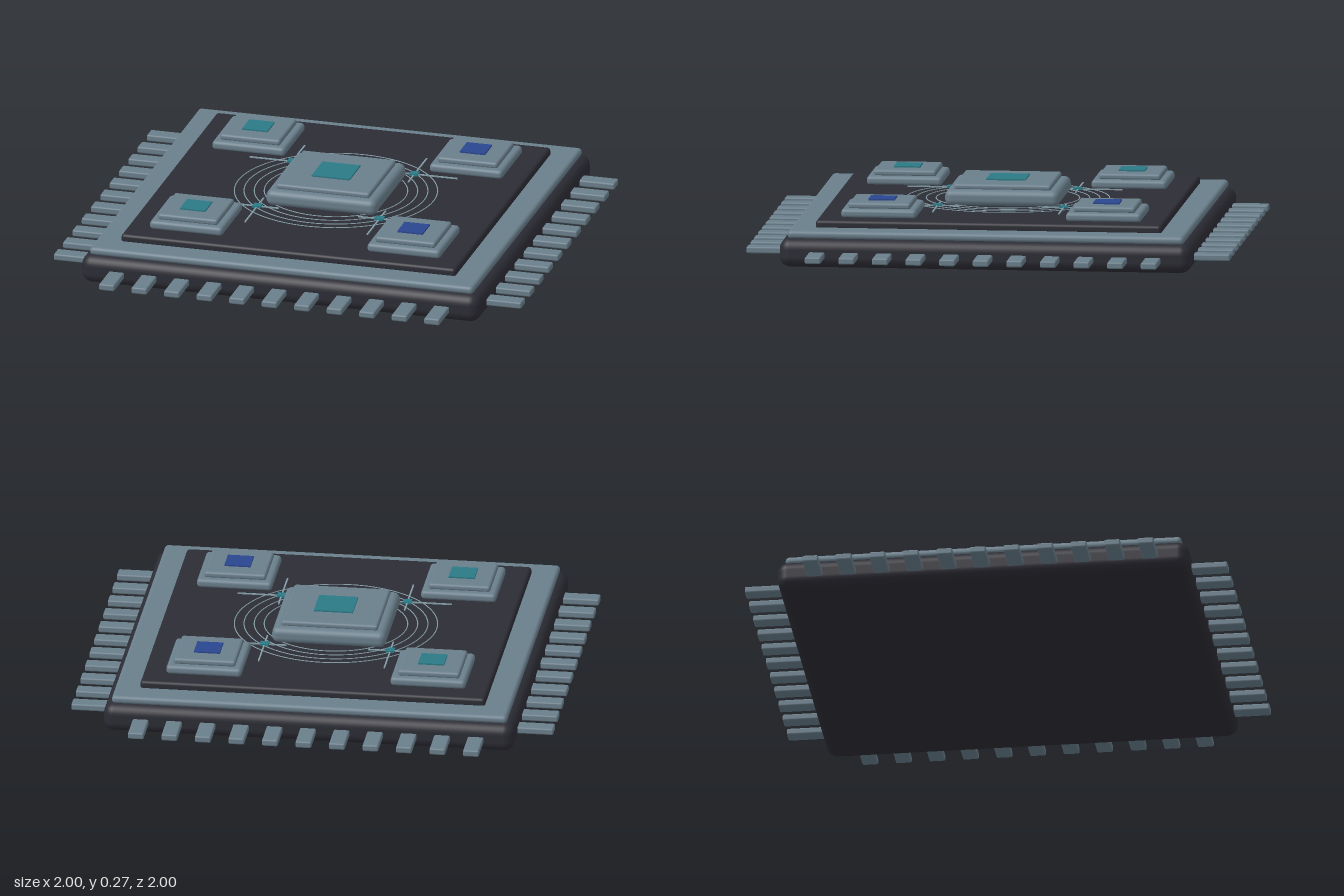
import * as THREE from 'three';
import { RoundedBoxGeometry } from 'three/addons/geometries/RoundedBoxGeometry.js';

const material = (name, color) => {
  const m = new THREE.MeshStandardMaterial({ color });
  m.name = name;
  return m;
};

export function createModel() {
  const dark = material('charcoal', 0x2c2c35);
  const steel = material('steel', 0x6a7f8c);
  const teal = material('teal', 0x2a7a86);
  const blue = material('blue', 0x2a4690);
  const trace = material('paleTrace', 0x86a0aa);

  const model = new THREE.Group();
  model.name = 'processorChip';

  const add = (parent, name, geometry, mat, x, y, z) => {
    const mesh = new THREE.Mesh(geometry, mat);
    mesh.name = name;
    mesh.position.set(x, y, z);
    parent.add(mesh);
    return mesh;
  };
  // Square rounded slab between two heights
  const slab = (parent, name, half, y0, y1, radius, mat, x = 0, z = 0) =>
    add(parent, name, new RoundedBoxGeometry(half * 2, y1 - y0, half * 2, 4, radius), mat, x, (y0 + y1) / 2, z);
  // Thin square painted plate
  const plate = (parent, name, half, y0, y1, mat, x = 0, z = 0) =>
    add(parent, name, new THREE.BoxGeometry(half * 2, y1 - y0, half * 2), mat, x, (y0 + y1) / 2, z);

  // Stacked package body
  slab(model, 'base', 0.852, 0, 0.12, 0.045, dark);
  slab(model, 'framePlate', 0.82, 0.115, 0.15, 0.016, steel);
  slab(model, 'circuitPlate', 0.715, 0.14, 0.18, 0.014, dark);

  // Central core
  const core = new THREE.Group();
  core.name = 'core';
  model.add(core);
  slab(core, 'coreBody', 0.236, 0.175, 0.243, 0.027, steel);
  slab(core, 'coreCap', 0.2, 0.238, 0.264, 0.011, steel);
  plate(core, 'coreLight', 0.081, 0.262, 0.27, teal);

  for (const sx of [-1, 1]) {
    for (const sz of [-1, 1]) {
      // Corner modules
      const corner = new THREE.Group();
      corner.name = 'cornerModule';
      corner.position.set(sx * 0.465, 0, sz * 0.465);
      model.add(corner);
      slab(corner, 'moduleBody', 0.156, 0.175, 0.214, 0.016, steel);
      slab(corner, 'moduleCap', 0.128, 0.21, 0.237, 0.011, steel);
      plate(corner, 'moduleLight', 0.054, 0.235, 0.243, sx < 0 ? teal : blue);

      // Node with crossing traces that reach further outward than inward
      const node = new THREE.Group();
      node.name = 'traceNode';
      node.position.set(sx * 0.261, 0, sz * 0.261);
      model.add(node);
      plate(node, 'nodeLight', 0.018, 0.18, 0.189, teal);
      add(node, 'traceAcross', new THREE.BoxGeometry(0.275, 0.006, 0.006), trace, sx * 0.046, 0.182, 0);
      add(node, 'traceAlong', new THREE.BoxGeometry(0.006, 0.006, 0.275), trace, 0, 0.182, sz * 0.046);
    }
  }

  // Concentric trace rings
  for (const r of [0.295, 0.336, 0.378, 0.418]) {
    const ring = add(model, 'traceRing', new THREE.TorusGeometry(r, 0.0025, 6, 72), trace, 0, 0.18, 0);
    ring.rotation.x = -Math.PI / 2;
  }

  // Eleven contact pins on each of the four sides
  const pinGeometry = new RoundedBoxGeometry(0.066, 0.028, 0.2, 2, 0.007);
  for (let side = 0; side < 4; side++) {
    const row = new THREE.Group();
    row.name = 'pinRow';
    row.rotation.y = side * Math.PI / 2;
    model.add(row);
    for (let i = -5; i <= 5; i++) add(row, 'pin', pinGeometry, steel, i * 0.139, 0.053, 0.9);
  }

  return model;
}
